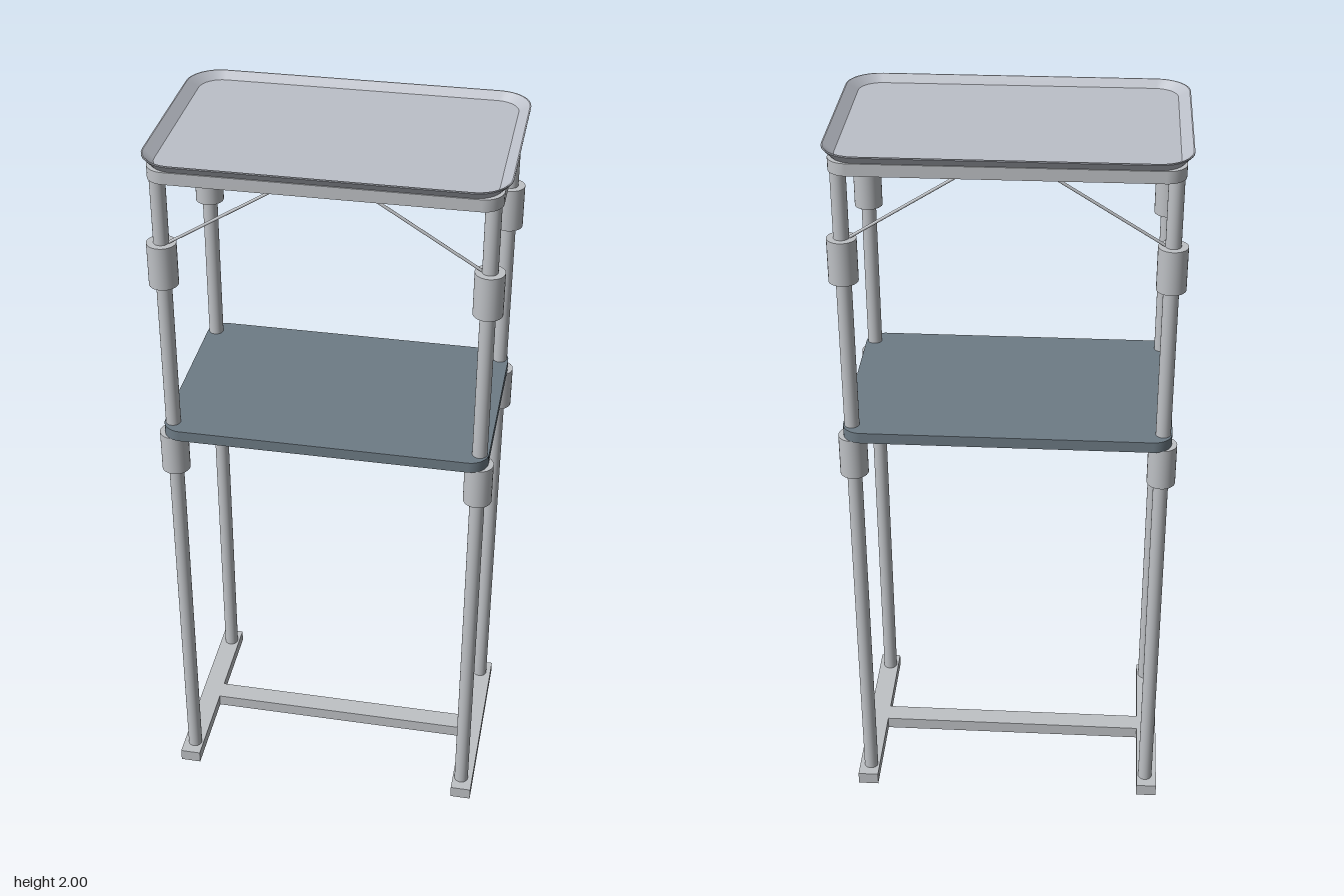
import * as THREE from 'three';

const mat = (name, color, side = THREE.FrontSide) => {
  const m = new THREE.MeshStandardMaterial({ color, side });
  m.name = name;
  return m;
};

// Rounded rectangle ring, counter-clockwise seen from above
function ring([hw, hd, r, y], seg = 8) {
  const pts = [];
  const corners = [[1, 1], [-1, 1], [-1, -1], [1, -1]];
  corners.forEach(([sx, sz], k) => {
    for (let i = 0; i <= seg; i++) {
      const a = (k + i / seg) * Math.PI / 2;
      pts.push([sx * (hw - r) + r * Math.cos(a), y, -(sz * (hd - r) + r * Math.sin(a))]);
    }
  });
  return pts;
}

// Capped loft through rounded rectangles [halfWidth, halfDepth, radius, y], with sharp edges between bands
function loft(sections) {
  const pos = [], idx = [];
  const rings = sections.map(s => ring(s));
  const n = rings[0].length;
  for (let k = 0; k < rings.length - 1; k++) {
    const b = pos.length / 3;
    [...rings[k], ...rings[k + 1]].forEach(p => pos.push(...p));
    for (let i = 0; i < n; i++) {
      const j = (i + 1) % n;
      idx.push(b + i, b + j, b + n + j, b + i, b + n + j, b + n + i);
    }
  }
  [[rings[0], false], [rings[rings.length - 1], true]].forEach(([r, up]) => {
    const b = pos.length / 3;
    pos.push(0, r[0][1], 0);
    r.forEach(p => pos.push(...p));
    for (let i = 0; i < n; i++) {
      const p = b + 1 + i, q = b + 1 + (i + 1) % n;
      idx.push(b, up ? p : q, up ? q : p);
    }
  });
  const g = new THREE.BufferGeometry();
  g.setAttribute('position', new THREE.Float32BufferAttribute(pos, 3));
  g.setIndex(idx);
  g.computeVertexNormals();
  return g;
}

export function createModel() {
  const model = new THREE.Group();
  const metal = mat('brushed metal', 0xbfc2c6);
  const trayMat = mat('tray metal', 0xbcc0c9);
  const slate = mat('slate shelf', 0x6e7c86);

  const add = (name, geo, material, x = 0, y = 0, z = 0, parent = model) => {
    const m = new THREE.Mesh(geo, material);
    m.name = name;
    m.position.set(x, y, z);
    parent.add(m);
    return m;
  };

  // Channel bar, open underneath
  const H = 0.036, T = 0.01;
  const channel = (name, w, d, x, z) => {
    const g = new THREE.Group();
    g.name = name;
    g.position.set(x, 0, z);
    model.add(g);
    add('channelTop', new THREE.BoxGeometry(w, T, d), metal, 0, H - T / 2, 0, g);
    for (const s of [-1, 1]) {
      if (w < d) add('channelWall', new THREE.BoxGeometry(T, H - T, d), metal, s * (w - T) / 2, (H - T) / 2, 0, g);
      else add('channelWall', new THREE.BoxGeometry(w, H - T, T), metal, 0, (H - T) / 2, s * (d - T) / 2, g);
    }
    return g;
  };

  // Base: two side rails with end plates, joined by a cross bar
  for (const s of [-1, 1]) {
    const rail = channel('sideRail', 0.058, 0.566, s * 0.414, 0);
    for (const e of [-1, 1])
      add('railEnd', new THREE.BoxGeometry(0.038, H - T, T), metal, 0, (H - T) / 2, e * 0.278, rail);
  }
  channel('crossBar', 0.77, 0.058, 0, 0);

  // Legs, collars and diagonal braces at the four corners
  const LX = 0.41, LZ = 0.236;
  const legGeo = new THREE.CylinderGeometry(0.02, 0.02, 1.92, 24);
  const collarGeo = new THREE.CylinderGeometry(0.038, 0.038, 0.117, 28);
  for (const sx of [-1, 1]) for (const sz of [-1, 1]) {
    add('leg', legGeo, metal, sx * LX, 0.99, sz * LZ);
    add('lowerCollar', collarGeo, metal, sx * LX, 1.136, sz * LZ);
    add('upperCollar', collarGeo, metal, sx * LX, 1.705, sz * LZ);
    const a = new THREE.Vector3(sx * 0.395, 1.762, sz * LZ);
    const b = new THREE.Vector3(sx * 0.095, 1.948, sz * LZ);
    add('brace', new THREE.TubeGeometry(new THREE.LineCurve3(a, b), 1, 0.004, 8), metal);
  }

  // Middle shelf and the panel under the tray
  add('shelf', loft([[0.434, 0.282, 0.05, 1.195], [0.434, 0.282, 0.05, 1.225]]), slate);
  add('trayFrame', loft([[0.434, 0.282, 0.05, 1.945], [0.434, 0.282, 0.05, 1.977]]), metal);

  // Tray with flared rim and recessed floor
  add('tray', loft([
    [0.428, 0.278, 0.065, 1.976],
    [0.451, 0.295, 0.088, 1.997],
    [0.451, 0.295, 0.088, 2.0],
    [0.448, 0.292, 0.085, 2.0],
    [0.42, 0.275, 0.06, 1.98],
  ]), trayMat);

  return model;
}
